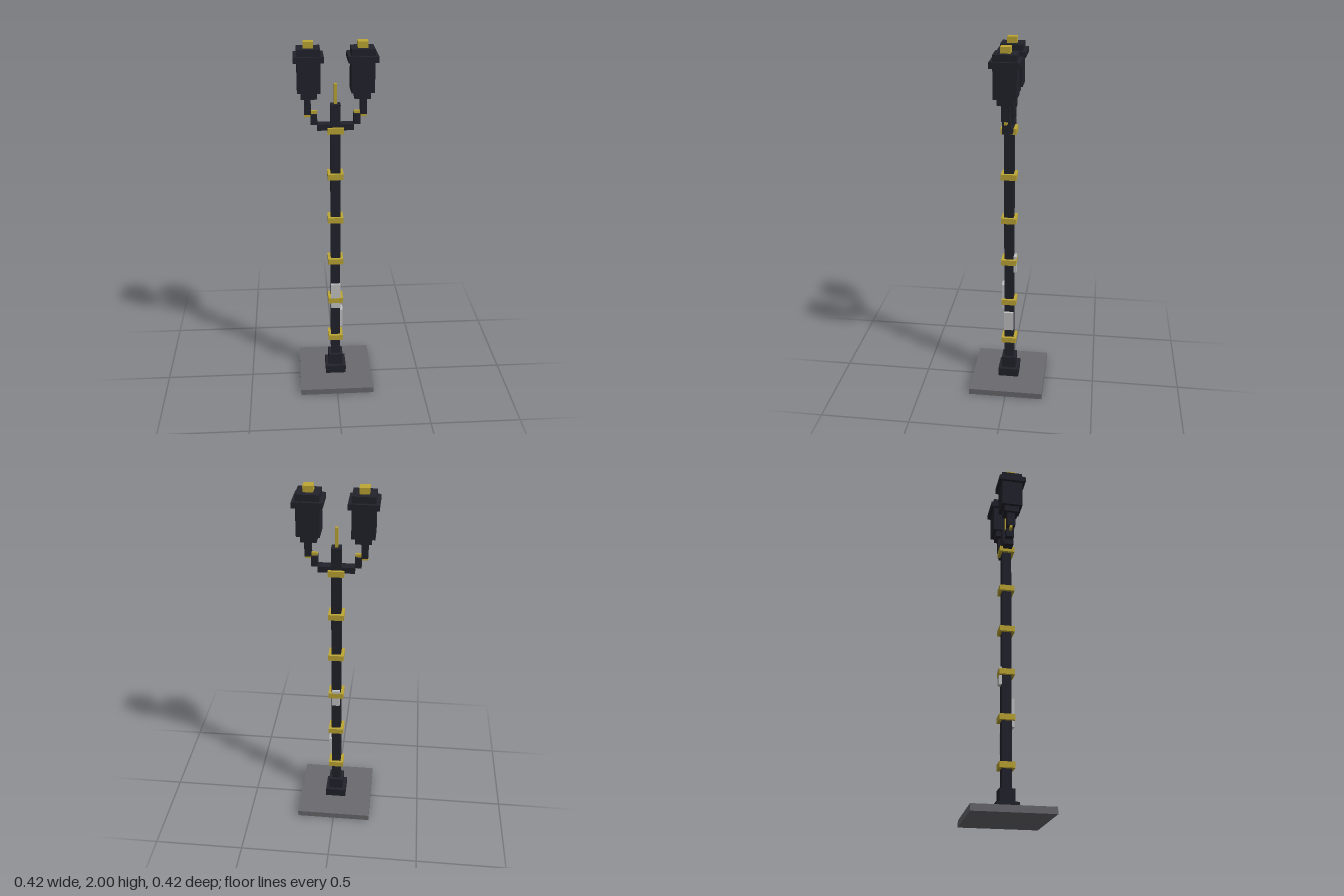
import * as THREE from 'three';

const material = (name, color) => {
  const m = new THREE.MeshStandardMaterial({ color });
  m.name = name;
  return m;
};

export function createModel() {
  const iron = material('dark iron', 0x22222c);
  const brass = material('brass', 0xbea734);
  const stone = material('grey stone', 0x6a6a6f);
  const paper = material('pale sign', 0xc4c4c6);

  // Box spanning y0..y1, centred on x and z
  const box = (parent, name, mat, w, d, y0, y1, x = 0, z = 0) => {
    const mesh = new THREE.Mesh(new THREE.BoxGeometry(w, y1 - y0, d), mat);
    mesh.position.set(x, (y0 + y1) / 2, z);
    mesh.name = name;
    parent.add(mesh);
  };

  const model = new THREE.Group();
  model.name = 'streetLamp';

  // Base and post
  box(model, 'baseSlab', stone, 0.423, 0.423, 0, 0.035);
  box(model, 'plinth', iron, 0.118, 0.118, 0.035, 0.085);
  box(model, 'plinthUpper', iron, 0.082, 0.082, 0.085, 0.155);
  box(model, 'post', iron, 0.052, 0.052, 0.155, 1.68);
  box(model, 'finial', brass, 0.016, 0.016, 1.68, 1.785);

  // Evenly spaced brass bands up the post
  for (let i = 0; i < 6; i++) {
    const y = 0.275 + i * 0.254;
    box(model, 'postBand', brass, 0.084, 0.084, y - 0.016, y + 0.016);
  }

  // Small signs on the front, left and back of the post
  box(model, 'frontSign', paper, 0.052, 0.015, 0.48, 0.635, 0, 0.0335);
  box(model, 'sideSign', paper, 0.015, 0.052, 0.345, 0.46, 0.0335, 0);
  box(model, 'backSign', paper, 0.042, 0.015, 0.715, 0.815, 0, -0.0335);

  // Stepped arm and lantern on each side
  for (const s of [-1, 1]) {
    const arm = new THREE.Group();
    arm.name = s > 0 ? 'leftLamp' : 'rightLamp';
    box(arm, 'armBeam', iron, 0.07, 0.052, 1.546, 1.578, s * 0.06);
    box(arm, 'armStep', iron, 0.034, 0.046, 1.577, 1.631, s * 0.111);
    box(arm, 'armStem', iron, 0.034, 0.046, 1.63, 1.715, s * 0.143);
    box(arm, 'innerPin', brass, 0.032, 0.016, 1.631, 1.646, s * 0.111);
    box(arm, 'outerPin', brass, 0.032, 0.016, 1.614, 1.63, s * 0.144);

    const x = s * 0.136;
    box(arm, 'lanternNeck', iron, 0.082, 0.082, 1.715, 1.75, x);
    box(arm, 'lanternBody', iron, 0.118, 0.118, 1.75, 1.905, x);
    box(arm, 'lanternRim', iron, 0.152, 0.152, 1.905, 1.935, x);
    box(arm, 'lanternRoof', iron, 0.118, 0.118, 1.935, 1.968, x);
    box(arm, 'lanternCap', brass, 0.051, 0.051, 1.968, 2, x);
    model.add(arm);
  }

  return model;
}
